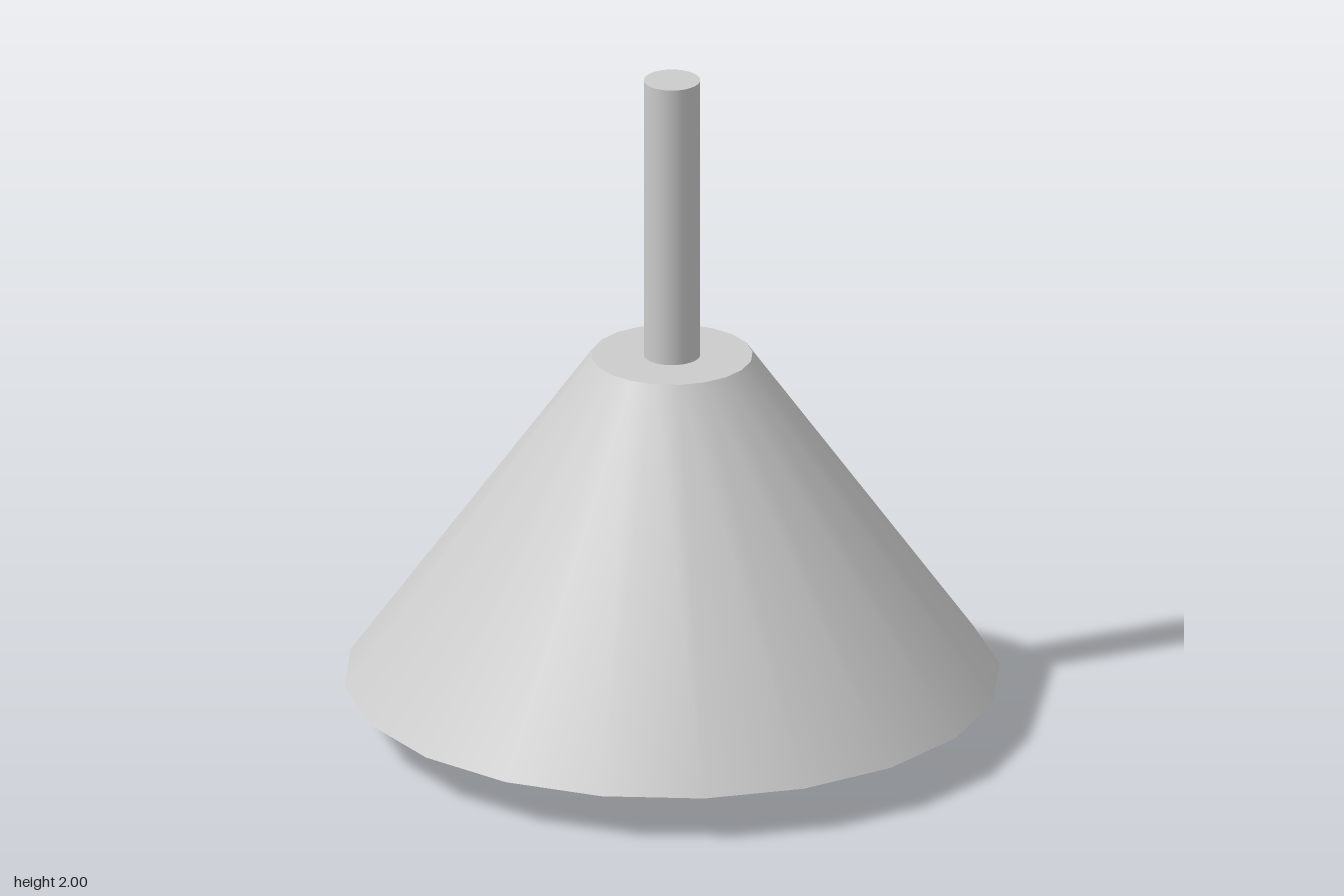
import * as THREE from 'three';
import { mergeGeometries } from 'three/addons/utils/BufferGeometryUtils.js';

const SIDES = 20;
const RIM_Y = 0.135, TOP_Y = 1.14, CEILING_Y = 1.03;

// Revolve a profile one band at a time, so the corners between bands stay sharp.
function revolveSharp(profile, sides) {
  const points = profile.map(([r, y]) => new THREE.Vector2(r, y));
  const bands = [];
  for (let i = 0; i < points.length - 1; i++) {
    bands.push(new THREE.LatheGeometry([points[i], points[i + 1]], sides));
  }
  return mergeGeometries(bands);
}

export function createModel() {
  const group = new THREE.Group();
  group.name = 'pendantLamp';
  const material = new THREE.MeshStandardMaterial({ color: 0xcccccc });

  const add = (name, geometry, y = 0) => {
    const mesh = new THREE.Mesh(geometry, material);
    mesh.name = name;
    mesh.position.y = y;
    group.add(mesh);
  };

  // Hollow conical shade: ceiling, inner wall, rim, outer wall, top
  add('shade', revolveSharp([
    [0, CEILING_Y],
    [0.18, CEILING_Y],
    [0.82, RIM_Y],
    [0.955, RIM_Y],
    [0.235, TOP_Y],
    [0, TOP_Y],
  ], SIDES));

  // Hanging rod, running through the shade down to the bulb
  const rodBottom = 0.65;
  add('rod', new THREE.CylinderGeometry(0.082, 0.082, 2 - rodBottom, 32), (2 + rodBottom) / 2);

  // Round bulb, peeking out below the rim
  add('bulb', new THREE.SphereGeometry(0.36, 32, 20), 0.36);

  return group;
}
